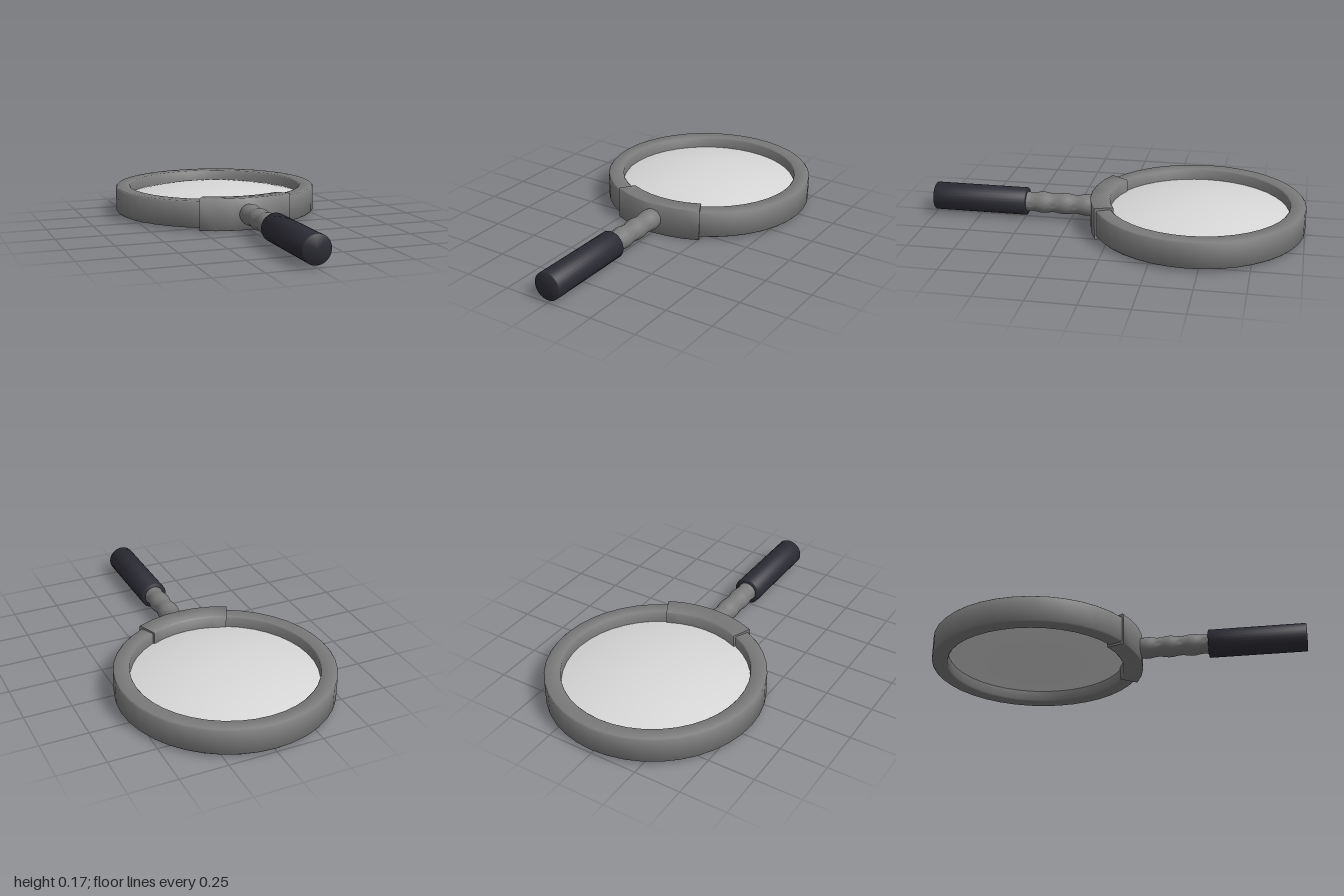
import * as THREE from 'three';
import { toCreasedNormals } from 'three/addons/utils/BufferGeometryUtils.js';

const MID_Y = 0.088; // height of the plane of symmetry
const RING_Z = -0.44; // centre of the lens and ring

const material = (name, color) => {
  const m = new THREE.MeshStandardMaterial({ color });
  m.name = name;
  return m;
};

const points = (list) => list.map(([r, y]) => new THREE.Vector2(r, y));

// Bevels blend smoothly; right-angled edges stay sharp
const lathe = (pts, segments, start = 0, length = Math.PI * 2) =>
  toCreasedNormals(new THREE.LatheGeometry(pts, segments, start, length), 1);

// Closed band section with bevelled corners; half heights may differ inside and out
function bandProfile(inner, outer, hInner, hOuter, b) {
  return points([
    [outer - b, -hOuter], [outer, -hOuter + b], [outer, hOuter - b], [outer - b, hOuter],
    [inner + b, hInner], [inner, hInner - b], [inner, -hInner + b], [inner + b, -hInner],
    [outer - b, -hOuter],
  ]);
}

// Double-domed lens section
function lensProfile(radius, halfEdge, bulge, steps = 10) {
  const pts = [];
  for (let i = 0; i <= steps; i++) {
    const t = i / steps;
    pts.push([radius * t, -halfEdge - bulge * (1 - t * t)]);
  }
  return points([...pts, ...pts.map(([r, y]) => [r, -y]).reverse()]);
}

export function createModel() {
  const model = new THREE.Group();
  model.name = 'magnifyingGlass';
  const metal = material('greyMetal', 0x7c7c7c);
  const glass = material('paleGlass', 0xd8d8d8);
  const grip = material('darkGrip', 0x2c2c35);

  const add = (name, geometry, mat, z, parent = model) => {
    const mesh = new THREE.Mesh(geometry, mat);
    mesh.name = name;
    mesh.position.set(0, MID_Y, z);
    parent.add(mesh);
    return mesh;
  };

  // Ring and lens
  add('ring', lathe(bandProfile(0.478, 0.561, 0.071, 0.071, 0.007), 40), metal, RING_Z);
  add('lens', lathe(lensProfile(0.481, 0.01, 0.06), 40), glass, RING_Z);

  // Clamp: a curved sleeve over the front of the ring, closed at both ends
  const clamp = new THREE.Group();
  clamp.name = 'clamp';
  model.add(clamp);
  const section = bandProfile(0.466, 0.57, 0.08, 0.086, 0.004);
  const half = 0.465;
  add('clampSleeve', lathe(section, 6, -half, half * 2), metal, RING_Z, clamp);
  for (const side of [-1, 1]) {
    const cap = new THREE.ShapeGeometry(new THREE.Shape(section));
    if (side > 0) {
      cap.index.array.reverse();
      cap.computeVertexNormals();
    }
    add('clampEnd', cap, metal, RING_Z, clamp).rotation.y = side * half - Math.PI / 2;
  }

  // Wavy neck between clamp and grip
  const neck = [];
  for (let i = 0; i <= 32; i++) {
    const z = 0.1 + (0.41 * i) / 32;
    neck.push([0.054 + 0.0035 * Math.cos(((z - 0.4) / 0.12) * Math.PI * 2), z]);
  }
  add('neck', lathe(points(neck), 32), metal, 0).rotation.x = Math.PI / 2;

  // Grip with lightly bevelled ends
  const r = 0.0745, b = 0.004;
  const gripProfile = points([
    [0, 0.487], [r - b, 0.487], [r, 0.487 + b], [r, 1 - b], [r - b, 1], [0, 1],
  ]);
  add('grip', lathe(gripProfile, 32), grip, 0).rotation.x = Math.PI / 2;

  return model;
}
